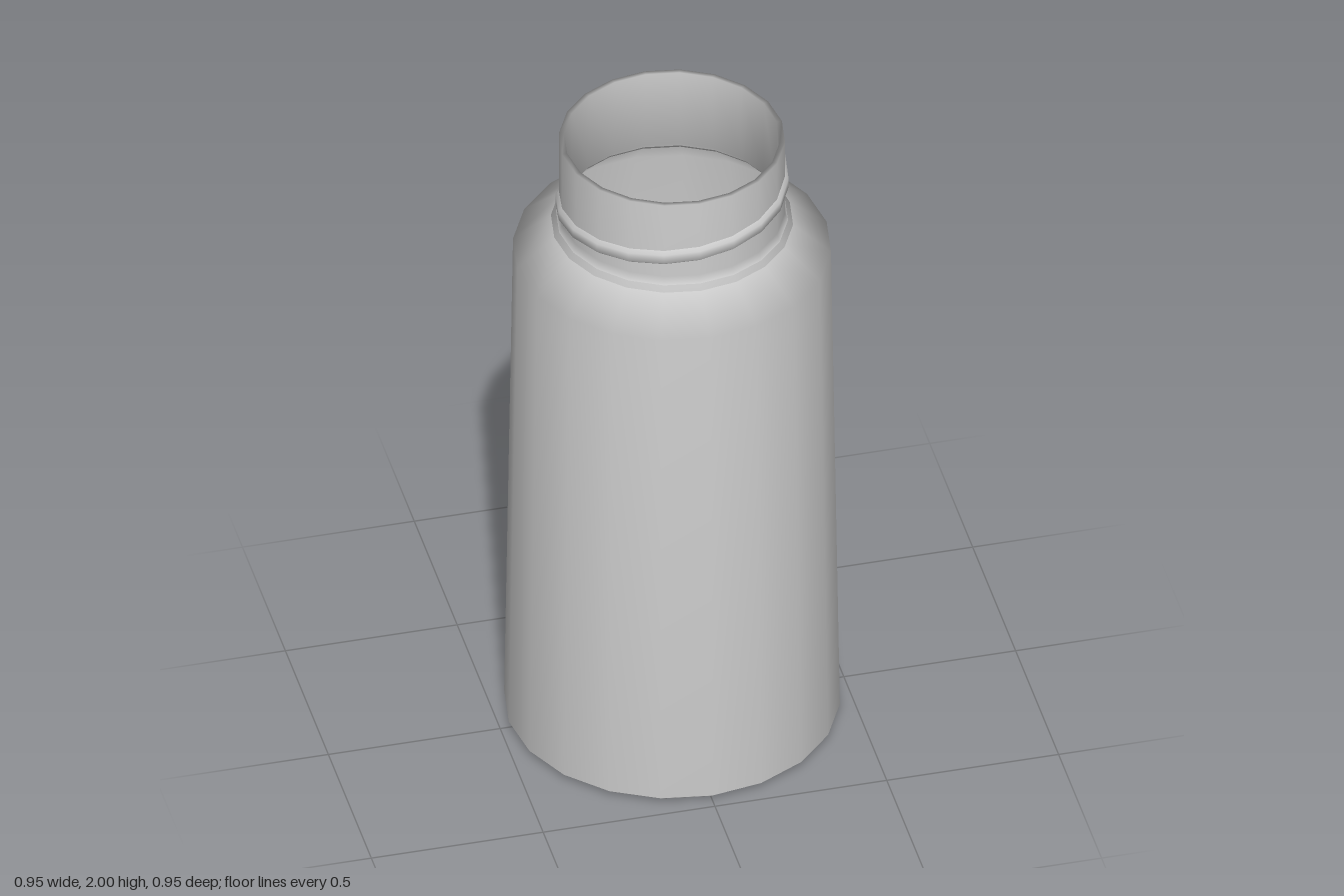
import * as THREE from 'three';
import { toCreasedNormals } from 'three/addons/utils/BufferGeometryUtils.js';

const SIDES = 20;
const NECK_R = 0.32;

// Closed thin-walled profile: underside, outer wall, rim, inner wall, floor
function bottleGeometry() {
  const profile = [
    [0, 0.03], [0.25, 0.02], [0.4, 0.005], [0.45, 0], [0.475, 0.02],
    [0.45, 1.62], [0.33, 1.72], [NECK_R, 1.75], [NECK_R, 2],
    [0.305, 2], [0.305, 1.75], [0.435, 1.61], [0.46, 0.04], [0.25, 0.04], [0, 0.05],
  ].map(([r, y]) => new THREE.Vector2(r, y));
  return new THREE.LatheGeometry(profile, SIDES);
}

// Height of the screw thread at an angle in degrees, measured from +z towards +x
function threadHeight(deg) {
  const keys = [[-144, 1.74], [-90, 1.785], [0, 1.825], [90, 1.865], [144, 1.91], [180, 1.95], [216, 1.98]];
  const i = Math.max(1, keys.findIndex(([a]) => deg <= a));
  const [a0, y0] = keys[i - 1], [a1, y1] = keys[i];
  return THREE.MathUtils.mapLinear(deg, a0, a1, y0, y1);
}

// One-turn ridge swept round the neck, fading out at both ends
function threadGeometry() {
  const section = [[-0.003, -0.026], [0.01, -0.014], [0.01, 0.014], [-0.003, 0.026]];
  const n = section.length;
  const positions = [], index = [];
  for (let i = 0; i <= SIDES; i++) {
    const deg = -144 + i * 360 / SIDES;
    const a = THREE.MathUtils.degToRad(deg);
    const scale = Math.min(1, Math.min(i, SIDES - i) / 2);
    for (const [dr, dy] of section) {
      const r = NECK_R + (dr > 0 ? dr * scale : dr);
      positions.push(r * Math.sin(a), threadHeight(deg) + dy * scale, r * Math.cos(a));
    }
    if (i === SIDES) break;
    for (let j = 0; j < n - 1; j++) {
      const p = i * n + j, q = p + n;
      index.push(p, q, q + 1, p, q + 1, p + 1);
    }
  }
  const g = new THREE.BufferGeometry();
  g.setAttribute('position', new THREE.Float32BufferAttribute(positions, 3));
  g.setIndex(index);
  return toCreasedNormals(g, Math.PI / 3);
}

export function createModel() {
  const group = new THREE.Group();
  group.name = 'bottle';
  const material = new THREE.MeshStandardMaterial({ color: 0xcccccc, side: THREE.DoubleSide });

  const body = new THREE.Mesh(bottleGeometry(), material);
  body.name = 'bottleBody';

  const thread = new THREE.Mesh(threadGeometry(), material);
  thread.name = 'neckThread';

  group.add(body, thread);
  return group;
}
